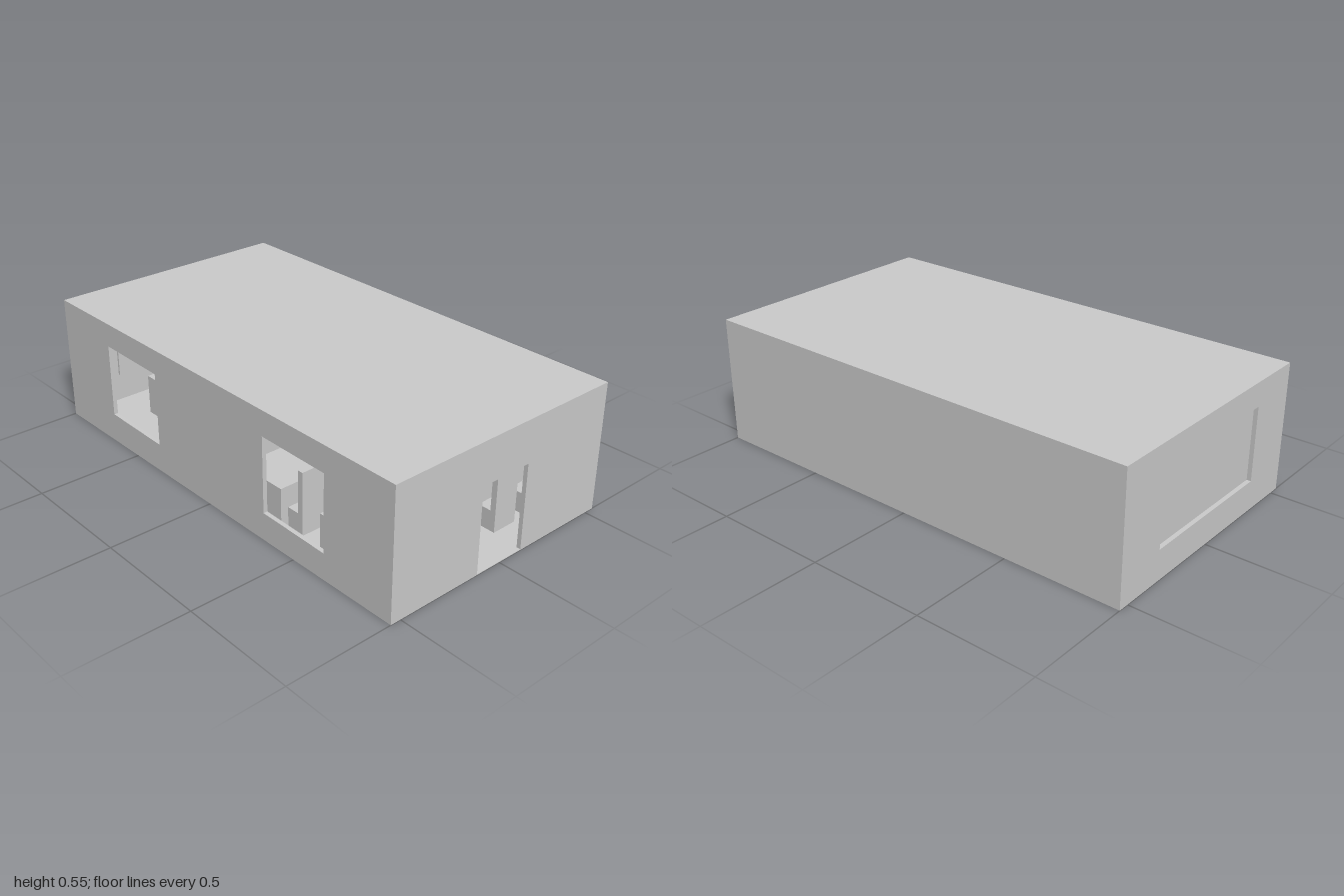
import * as THREE from 'three';

const W = 2, H = 0.545, D = 1.09, T = 0.018;
const material = new THREE.MeshStandardMaterial({ color: 0xcccccc, flatShading: true });

function add(parent, name, geometry) {
  const mesh = new THREE.Mesh(geometry, material);
  mesh.name = name;
  parent.add(mesh);
  return mesh;
}

// Box given by its lower and upper limits on each axis
function box(parent, name, x0, x1, y0, y1, z0, z1) {
  const mesh = add(parent, name, new THREE.BoxGeometry(x1 - x0, y1 - y0, z1 - z0));
  mesh.position.set((x0 + x1) / 2, (y0 + y1) / 2, (z0 + z1) / 2);
  return mesh;
}

const outline = (points) => points.map(([x, y]) => new THREE.Vector2(x, y));

// Upright wall from an outline with openings, extruded along +z
function wall(parent, name, points, holes = []) {
  const shape = new THREE.Shape(outline(points));
  for (const hole of holes) shape.holes.push(new THREE.Path(outline(hole)));
  return add(parent, name, new THREE.ExtrudeGeometry(shape, { depth: T, bevelEnabled: false }));
}

export function createModel() {
  const model = new THREE.Group();
  model.name = 'classroom';
  const w = W / 2, d = D / 2, floorTop = 0.003;

  // Room shell
  box(model, 'floor', -w, w, 0, floorTop, -d, d);
  box(model, 'roof', -w, w, H - T, H, -d, d);
  box(model, 'backWall', -w, w, 0, H, -d, -d + T);

  // Front wall with two slightly skewed windows
  const front = wall(model, 'frontWall', [[-w, 0], [w, 0], [w, H], [-w, H]], [
    [[-0.667, 0.128], [-0.667, 0.443], [-0.333, 0.439], [-0.333, 0.122]],
    [[0.333, 0.118], [0.333, 0.439], [0.663, 0.436], [0.663, 0.112]],
  ]);
  front.position.z = d - T;

  // Side wall with the doorway (shape x runs along -z)
  const doorWall = wall(model, 'doorWall', [
    [-d, 0], [-0.118, 0], [-0.118, 0.365], [0.118, 0.365], [0.118, 0], [d, 0], [d, H], [-d, H],
  ]);
  doorWall.rotation.y = Math.PI / 2;
  doorWall.position.x = w - T;

  // Opposite wall with a wide opening closed by a board on the inside
  const boardWall = wall(model, 'boardWall', [[-d, 0], [d, 0], [d, H], [-d, H]], [
    [[-0.32, 0.128], [-0.32, 0.441], [0.315, 0.441], [0.315, 0.128]],
  ]);
  boardWall.rotation.y = Math.PI / 2;
  boardWall.position.x = -w;
  box(model, 'board', -w + T, -w + T + 0.01, 0.128, 0.441, -0.315, 0.32);

  // Teacher's desk
  const deskTop = 0.182, deskDepth = 0.237;
  box(model, 'teacherDesk', -0.787, -0.55, 0, deskTop, -0.29, 0.29);

  // Two rows of three shared desks, each with two chairs
  for (let column = 0; column < 3; column++) {
    const x = -0.365 + column * 0.455;
    const edge = x + deskDepth;
    for (const side of [-1, 1]) {
      const zc = side * 0.275;
      box(model, 'studentDesk', x, edge, 0, deskTop, zc - 0.182, zc + 0.182);
      for (const offset of [-0.09, 0.09]) {
        const chair = new THREE.Group();
        chair.name = 'chair';
        const z = zc + offset;
        box(chair, 'seat', edge - 0.01, edge + 0.058, 0, 0.09, z - 0.058, z + 0.058);
        box(chair, 'backrest', edge + 0.058, edge + 0.083, 0, 0.275, z - 0.058, z + 0.058);
        model.add(chair);
      }
    }
  }
  return model;
}
